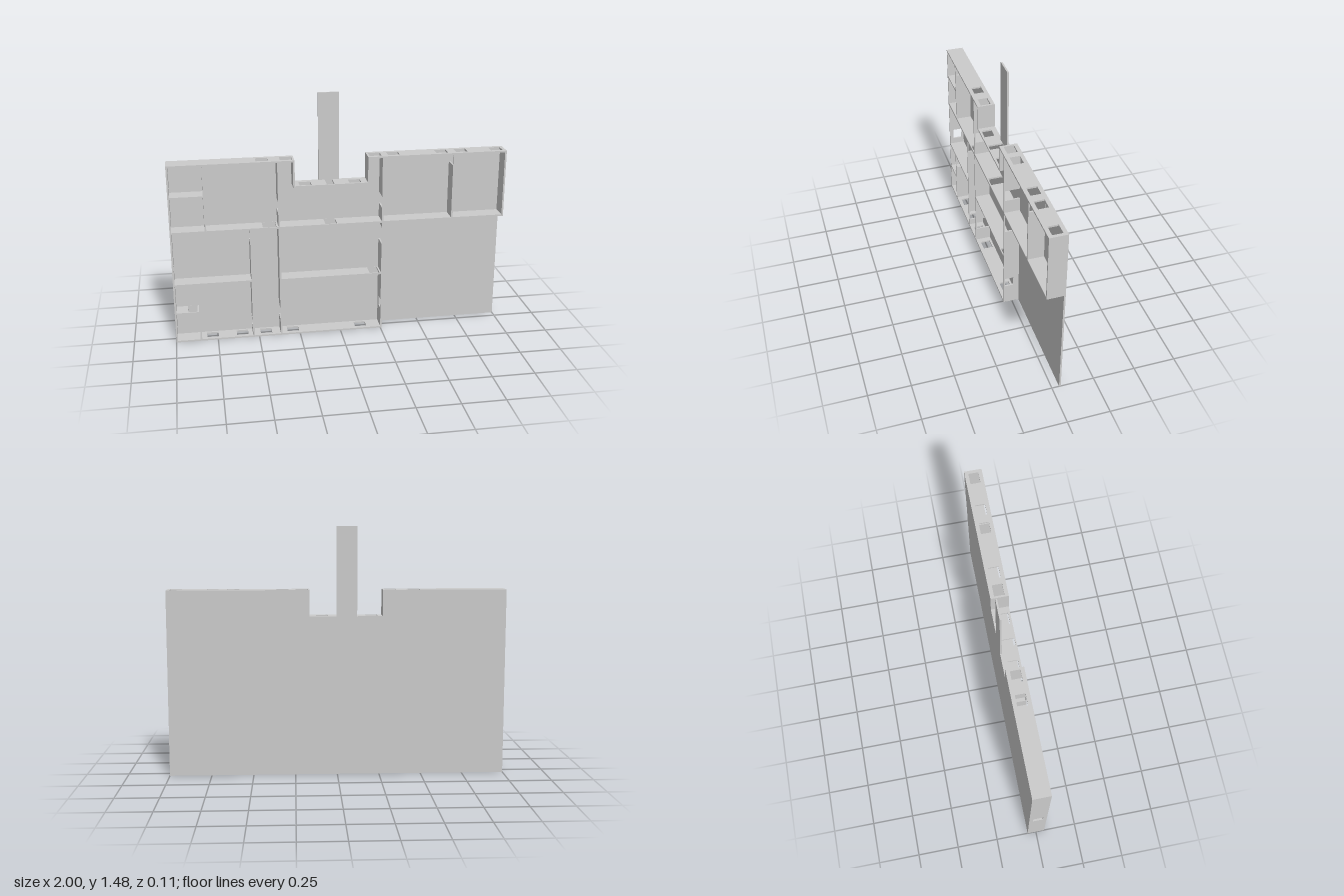
import * as THREE from 'three';

const T = 0.01;                       // wall thickness
const BACK = -0.053, FLOOR = -0.043, RIM = 0.053;
const TOP = 1.107, NOTCH = 0.952;

export function createModel() {
  const model = new THREE.Group();
  const material = new THREE.MeshStandardMaterial({ color: 0xcccccc, flatShading: true });

  const add = (name, geometry) => {
    const mesh = new THREE.Mesh(geometry, material);
    mesh.name = name;
    model.add(mesh);
  };

  const rectangle = (Kind, x0, y0, x1, y1) => {
    const r = new Kind();
    r.moveTo(x0, y0);
    r.lineTo(x1, y0);
    r.lineTo(x1, y1);
    r.lineTo(x0, y1);
    r.closePath();
    return r;
  };

  // Openings: [start, end, low z, high z]
  const door = (a, b) => [a, b, FLOOR + 0.001, 0.046];
  const opening = (centre, low = -0.03, high = 0.03) => [centre - 0.035, centre + 0.035, low, high];

  // Wall drawn in (length, depth), extruded by its thickness and turned into place
  const wall = (name, upright, centre, from, to, openings = []) => {
    const shape = rectangle(THREE.Shape, from, FLOOR, to, RIM);
    for (const [a, b, low, high] of openings) shape.holes.push(rectangle(THREE.Path, a, low, b, high));
    const g = new THREE.ExtrudeGeometry(shape, { depth: T, bevelEnabled: false });
    g.translate(0, 0, -T / 2);
    const X = new THREE.Vector3(1, 0, 0), Y = new THREE.Vector3(0, 1, 0), Z = new THREE.Vector3(0, 0, 1);
    const turn = new THREE.Matrix4();
    if (upright) turn.makeBasis(Y, Z, X).setPosition(centre, 0, 0);
    else turn.makeBasis(X, Z, Y.clone().negate()).setPosition(0, centre, 0);
    add(name, g.applyMatrix4(turn));
  };
  const across = (name, y, x0, x1, openings) => wall(name, false, y, x0, x1, openings);
  const upright = (name, x, y0, y1, openings) => wall(name, true, x, y0, y1, openings);

  // Base plate with the entrance recess and the path strip
  const plate = new THREE.Shape([
    [-1, 0], [1, 0], [1, TOP], [0.163, TOP], [0.163, NOTCH], [0.005, NOTCH], [0.005, 1.477],
    [-0.117, 1.477], [-0.117, NOTCH], [-0.268, NOTCH], [-0.268, TOP], [-1, TOP],
  ].map(([x, y]) => new THREE.Vector2(x, y)));
  const plateGeometry = new THREE.ExtrudeGeometry(plate, { depth: FLOOR - BACK, bevelEnabled: false });
  add('basePlate', plateGeometry.translate(0, 0, BACK));

  // Outer walls
  const h = T / 2;
  across('topWallRightSide', TOP - h, -1, -0.268, [-0.455, -0.315].map((x) => opening(x)));
  across('topWallLeftSide', TOP - h, 0.163, 1, [0.21, 0.32, 0.61, 0.73, 0.945].map((x) => opening(x)));
  across('recessWall', NOTCH - h, -0.273, 0.168,
    [opening(-0.205, -0.02, 0.04), door(-0.08, -0.035), opening(0.09, -0.02, 0.04)]);
  upright('recessSideRight', -0.268 - h, NOTCH - T, TOP);
  upright('recessSideLeft', 0.163 + h, NOTCH - T, TOP);
  upright('outerWallRight', -1 + h, 0, TOP, [opening(0.45)]);
  upright('outerWallLeft', 1 - h, 0.695, TOP);
  across('bottomWall', h, -1, 0.259, [-0.78, -0.6, -0.455, -0.29, 0.13].map((x) => opening(x)));

  // Long inner walls
  across('middleWall', 0.7, -1, 1, [door(-0.46, -0.38), door(-0.09, -0.02)]);
  upright('hallWallRight', -0.364, 0, TOP, [door(0.1, 0.18), door(0.79, 0.86)]);
  upright('hallWallLeft', 0.254, 0, TOP, [[0.13, 0.19, -0.008, 0.046], door(0.56, 0.67), door(0.79, 0.86)]);

  // Room partitions
  upright('upperRightPartition', -0.794, 0.7, TOP, [door(1.03, 1.09)]);
  across('upperRightCrossWall', 0.914, -1, -0.794);
  upright('upperLeftPartition', 0.679, 0.7, TOP, [door(1.03, 1.09)]);
  upright('lowerRightPartition', -0.533, 0, 0.7, [door(0.05, 0.12), door(0.61, 0.68)]);
  across('lowerRightCrossWall', 0.371, -1, -0.533);
  upright('closetPartition', -0.851, 0, 0.371, [door(0.27, 0.34)]);
  across('closetCrossWall', 0.187, -1, -0.851, [door(-0.92, -0.865)]);
  across('centreCrossWall', 0.366, -0.364, 0.254, [door(0.18, 0.24)]);

  return model;
}
